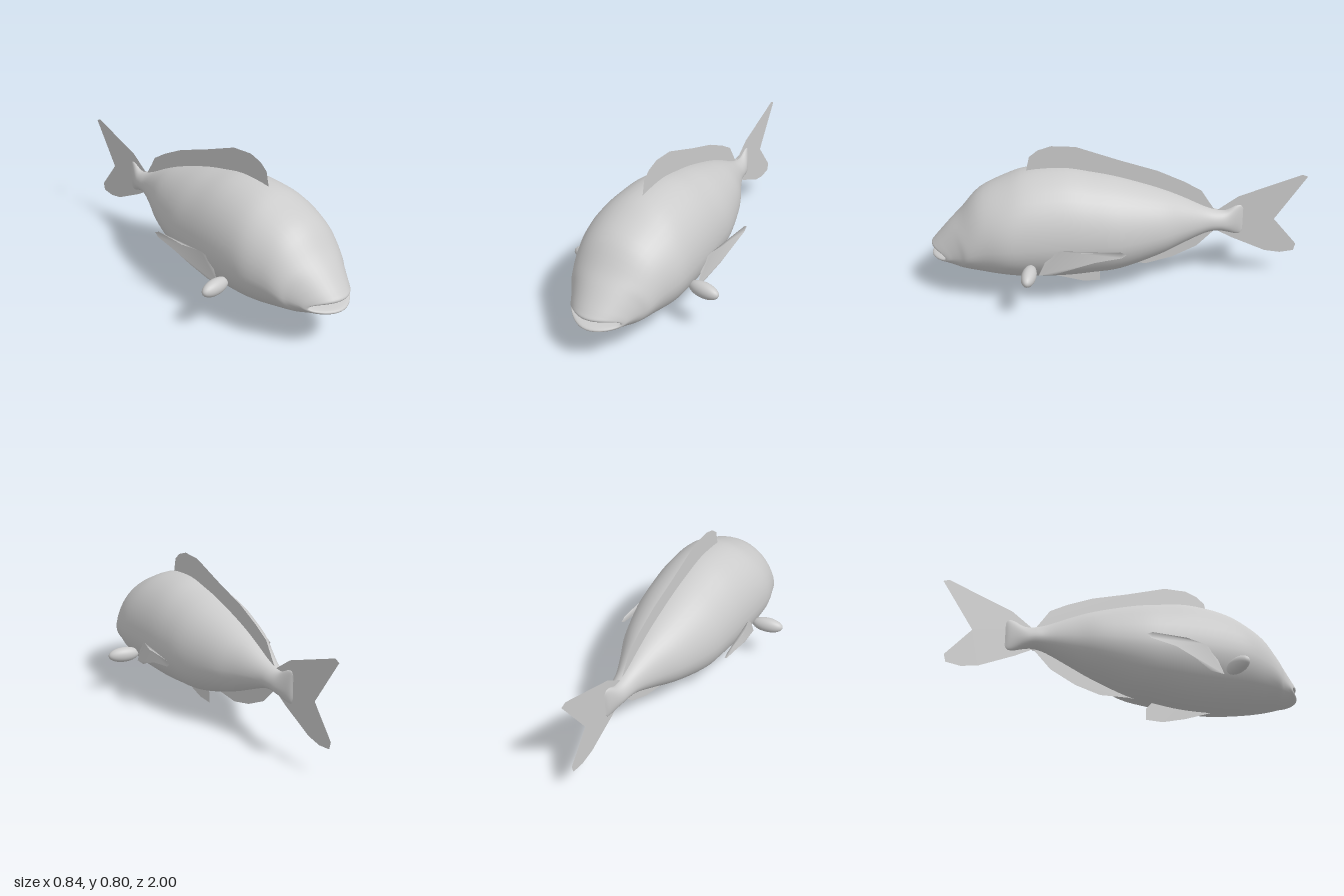
import * as THREE from 'three';

const grey = new THREE.MeshStandardMaterial({ color: 0xcccccc });
const greyThin = new THREE.MeshStandardMaterial({ color: 0xcccccc, side: THREE.DoubleSide });

// Body stations from inside the mouth to the tail root:
// [z, top y, bottom y, half width, how far the sides sweep back]
const stations = [
  [0.88, 0.245, 0.24, 0.09, 0.03],
  [0.98, 0.26, 0.226, 0.13, 0.085],
  [1.0, 0.274, 0.213, 0.14, 0.085],
  [0.985, 0.295, 0.2, 0.155, 0.085],
  [0.95, 0.335, 0.19, 0.172, 0.08],
  [0.9, 0.39, 0.173, 0.197, 0.07],
  [0.84, 0.45, 0.155, 0.225, 0.05],
  [0.74, 0.56, 0.13, 0.253, 0.03],
  [0.6, 0.63, 0.105, 0.284, 0],
  [0.48, 0.67, 0.09, 0.288, 0],
  [0.3, 0.68, 0.085, 0.28, 0],
  [0.15, 0.655, 0.097, 0.268, 0],
  [0.0, 0.62, 0.115, 0.248, 0],
  [-0.2, 0.555, 0.18, 0.188, 0],
  [-0.33, 0.5, 0.235, 0.127, 0],
  [-0.45, 0.44, 0.285, 0.075, 0],
  [-0.52, 0.415, 0.297, 0.058, 0],
  [-0.57, 0.412, 0.288, 0.046, 0],
  [-0.62, 0.435, 0.272, 0.026, 0],
  [-0.65, 0.438, 0.272, 0.012, 0],
  [-0.665, 0.42, 0.29, 0, 0],
];

// Lofts elliptical rings through the smoothed stations
function bodyGeometry(rings = 80, sides = 40) {
  const curve = (f) => new THREE.CatmullRomCurve3(stations.map(f), false, 'catmullrom', 0.5);
  const profile = curve((s) => new THREE.Vector3(s[0], s[1], s[2]));
  const spread = curve((s) => new THREE.Vector3(s[3], s[4], 0));
  const pos = [], index = [];
  for (let j = 0; j <= rings; j++) {
    const { x: z, y: top, z: bottom } = profile.getPoint(j / rings);
    const { x: halfWidth, y: sweep } = spread.getPoint(j / rings);
    const mid = bottom + (top - bottom) * 0.445;
    for (let i = 0; i < sides; i++) {
      const a = (i / sides) * Math.PI * 2, c = Math.cos(a), s = Math.sin(a);
      pos.push(halfWidth * c, mid + s * (s > 0 ? top - mid : mid - bottom), z - sweep * c * c);
      if (j < rings) {
        const n = (i + 1) % sides, p = j * sides, q = p + sides;
        index.push(p + i, q + i, p + n, q + i, q + n, p + n);
      }
    }
  }
  const geo = new THREE.BufferGeometry();
  geo.setAttribute('position', new THREE.Float32BufferAttribute(pos, 3));
  geo.setIndex(index);
  geo.computeVertexNormals();
  return geo;
}

// Thin sheet from a [z, y] outline; xAt bends it sideways along z
function finGeometry(outline, xAt = () => 0) {
  const shape = new THREE.Shape(outline.map(([z, y]) => new THREE.Vector2(z, y)));
  const geo = new THREE.ShapeGeometry(shape);
  const p = geo.attributes.position;
  for (let i = 0; i < p.count; i++) {
    const z = p.getX(i), y = p.getY(i);
    p.setXYZ(i, xAt(z), y, z);
  }
  geo.computeVertexNormals();
  return geo;
}

export function createModel() {
  const fish = new THREE.Group();
  fish.name = 'fish';
  const add = (name, geo, mat) => {
    const mesh = new THREE.Mesh(geo, mat);
    mesh.name = name;
    fish.add(mesh);
    return mesh;
  };

  add('body', bodyGeometry(), greyThin);

  // Fins on the centre line, rooted inside the body
  add('dorsalFin', finGeometry([
    [0.485, 0.66], [0.465, 0.745], [0.42, 0.78], [0.35, 0.802], [0.225, 0.795], [0, 0.715],
    [-0.2, 0.65], [-0.34, 0.585], [-0.435, 0.53], [-0.47, 0.475], [-0.51, 0.415],
    [-0.4, 0.44], [-0.2, 0.53], [0, 0.59], [0.3, 0.64],
  ]), greyThin);
  add('analFin', finGeometry([
    [0.13, 0.105], [0, 0.108], [-0.15, 0.1], [-0.285, 0.135], [-0.42, 0.2], [-0.475, 0.255],
    [-0.52, 0.3], [-0.4, 0.3], [-0.2, 0.21], [0, 0.14],
  ]), greyThin);
  add('pelvicFin', finGeometry([
    [0.48, 0.09], [0.33, 0.035], [0.2, 0], [0.105, 0], [0.105, 0.06], [0.14, 0.1], [0.3, 0.11],
  ]), greyThin);
  add('tailFin', finGeometry([
    [-0.52, 0.41], [-0.635, 0.49], [-0.97, 0.607], [-1, 0.595], [-0.835, 0.35], [-0.965, 0.195],
    [-0.955, 0.155], [-0.88, 0.145], [-0.795, 0.16], [-0.61, 0.245], [-0.51, 0.3],
  ]), greyThin);

  // Side fins and eyes, mirrored
  for (const [side, word] of [[1, 'left'], [-1, 'right']]) {
    const bend = (z) => side * (0.318 - 0.045 * THREE.MathUtils.clamp((z - 0.2) / 0.17, 0, 1));
    add(word + 'PectoralFin', finGeometry([
      [0.43, 0.2], [0.4, 0.265], [0.375, 0.32], [0.315, 0.345], [0.2, 0.347], [0.01, 0.345],
      [-0.02, 0.33], [0.005, 0.312], [0.14, 0.29], [0.25, 0.25], [0.35, 0.205],
    ], bend), greyThin);

    const eye = add(word + 'Eye', new THREE.SphereGeometry(1, 28, 18), grey);
    eye.scale.set(0.088, 0.042, 0.038);
    eye.position.set(side * 0.335, 0.233, 0.478);
    eye.rotation.y = -side * 0.15;
  }
  return fish;
}
